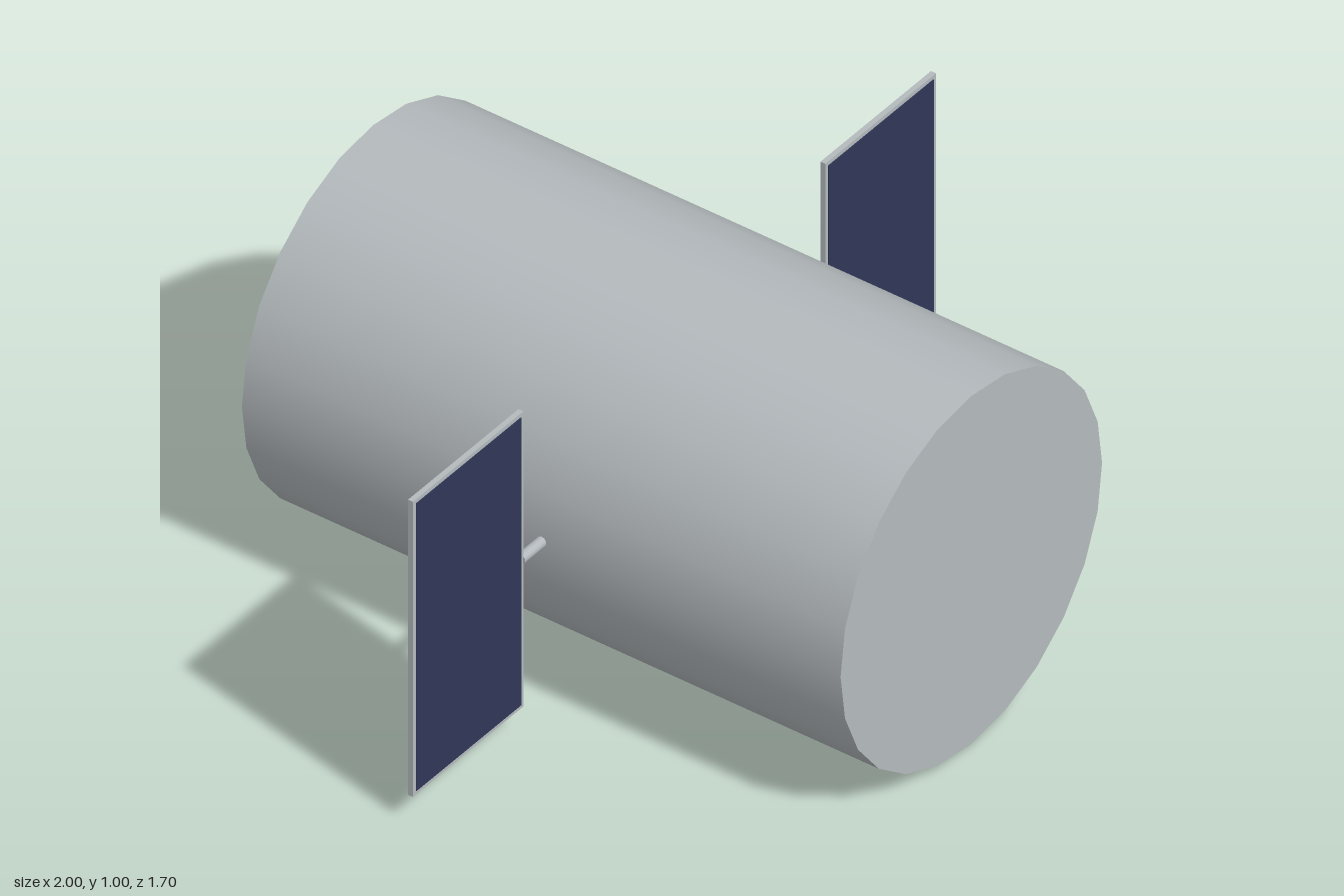
import * as THREE from 'three';

export function createModel() {
  const model = new THREE.Group();
  const metal = new THREE.MeshStandardMaterial({ color: 0xb4babd });
  metal.name = 'pale grey metal';
  const cells = new THREE.MeshStandardMaterial({ color: 0x303858 });
  cells.name = 'dark blue cells';

  const add = (parent, name, geometry, material, x = 0, y = 0, z = 0) => {
    const mesh = new THREE.Mesh(geometry, material);
    mesh.name = name;
    mesh.position.set(x, y, z);
    parent.add(mesh);
    return mesh;
  };

  // Drum-shaped hull lying along z
  const hull = new THREE.CylinderGeometry(0.5, 0.5, 1.7, 24).rotateX(Math.PI / 2);
  add(model, 'hull', hull, metal, 0, 0.5, 0);

  // A solar wing on each side: strut, backing panel and front cell sheet
  for (const [side, s] of [['left', 1], ['right', -1]]) {
    const wing = new THREE.Group();
    wing.name = side + 'Wing';
    wing.position.y = 0.5;
    const strut = new THREE.CylinderGeometry(0.014, 0.014, 0.1, 12).rotateZ(Math.PI / 2);
    add(wing, 'strut', strut, metal, s * 0.53);
    add(wing, 'panel', new THREE.BoxGeometry(0.423, 0.848, 0.014), metal, s * 0.7885, 0.002);
    add(wing, 'solarCells', new THREE.BoxGeometry(0.401, 0.826, 0.003), cells, s * 0.7885, 0.002, 0.0075);
    model.add(wing);
  }
  return model;
}
